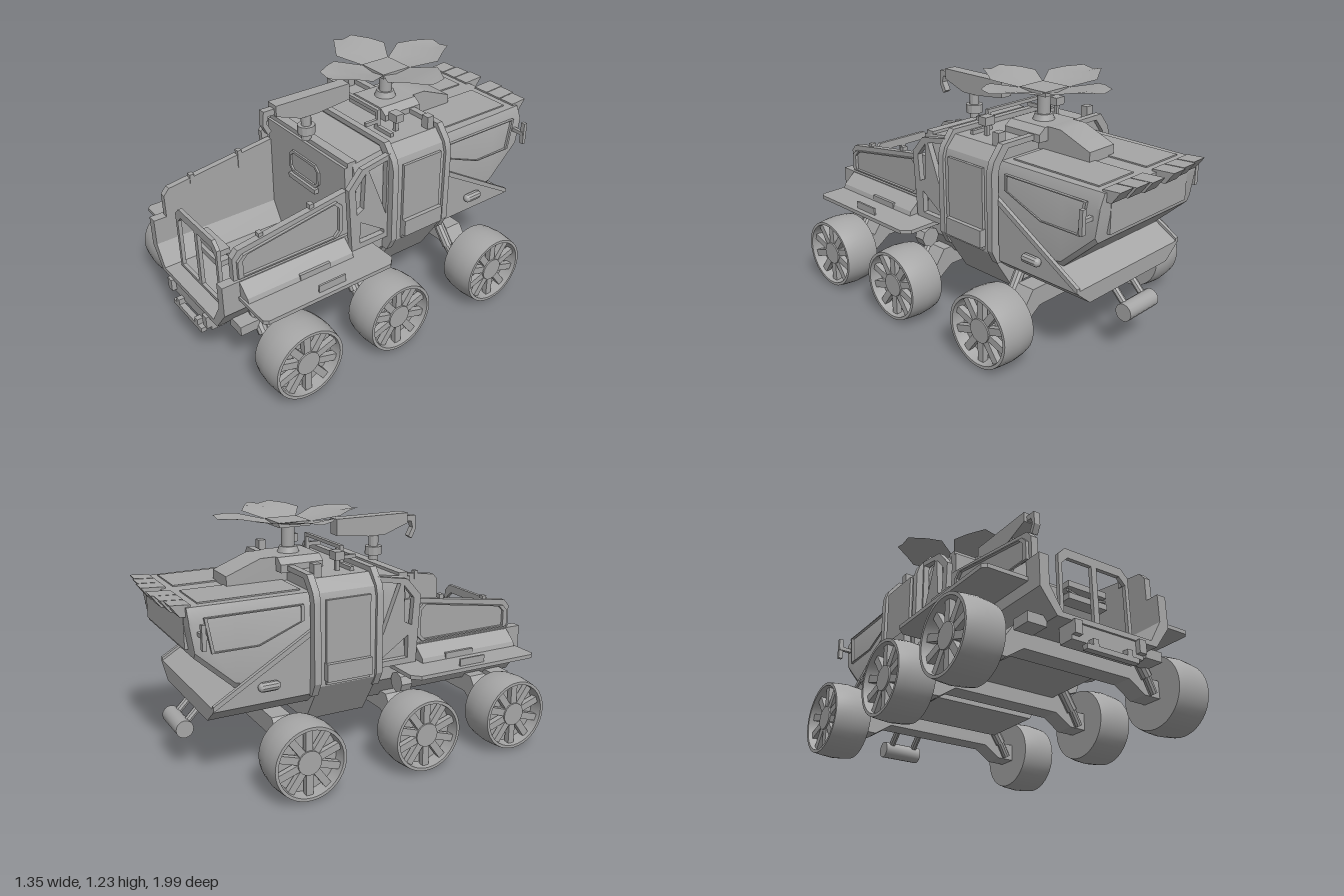
import * as THREE from 'three';
import { toCreasedNormals } from 'three/addons/utils/BufferGeometryUtils.js';

const grey = new THREE.MeshStandardMaterial({ color: 0xa6a6a6, side: THREE.DoubleSide });
grey.name = 'grey';

export function createModel() {
  const model = new THREE.Group();
  model.name = 'rover';
  const V = (x, y, z) => new THREE.Vector3(x, y, z);

  function add(name, geo, parent = model) {
    const m = new THREE.Mesh(toCreasedNormals(geo, 0.45), grey);
    m.name = name;
    parent.add(m);
    return m;
  }
  // Box given by its x, y and z ranges
  const box = (name, x0, x1, y0, y1, z0, z1) => add(name,
    new THREE.BoxGeometry(x1 - x0, y1 - y0, z1 - z0).translate((x0 + x1) / 2, (y0 + y1) / 2, (z0 + z1) / 2));
  const pairBox = (name, x0, x1, ...r) => {
    box(name, x0, x1, ...r);
    box(name, -x1, -x0, ...r);
  };
  const toShape = (pts, holes = []) => {
    const s = new THREE.Shape(pts.map(p => new THREE.Vector2(...p)));
    holes.forEach(h => s.holes.push(new THREE.Path(h.map(p => new THREE.Vector2(...p)))));
    return s;
  };
  const extrude = (shape, depth) => new THREE.ExtrudeGeometry(shape, { depth, bevelEnabled: false });
  // Outline in (z, y), extruded from x0 to x1
  const slab = (name, pts, x0, x1, holes = []) => {
    const f = a => a.map(([z, y]) => [-z, y]);
    add(name, extrude(toShape(f(pts), holes.map(f)), x1 - x0).rotateY(Math.PI / 2).translate(x0, 0, 0));
  };
  const pairSlab = (name, pts, x0, x1, holes) => {
    slab(name, pts, x0, x1, holes);
    slab(name, pts, -x1, -x0, holes);
  };
  // Outline in (x, y), extruded from z0 to z1
  const front = (name, pts, z0, z1, holes) => add(name, extrude(toShape(pts, holes), z1 - z0).translate(0, 0, z0));
  const mirror = half => [...half, ...half.map(([x, y]) => [-x, y]).reverse()];
  // Smaller copy of an outline, for the opening in a frame
  const shrink = (pts, k) => {
    const c = [0, 1].map(i => pts.reduce((s, p) => s + p[i], 0) / pts.length);
    return pts.map(p => p.map((v, i) => c[i] + (v - c[i]) * k));
  };
  // Hull through mirrored half sections [z, [[x, y], ...]], from back to front
  function loft(name, sections) {
    const pos = [], idx = [], n = sections[0][1].length * 2;
    sections.forEach(([z, half]) => mirror(half).forEach(([x, y]) => pos.push(x, y, z)));
    const last = (sections.length - 1) * n;
    for (let s = 0; s < last; s += n) for (let i = 0; i < n; i++) {
      const a = s + i, b = s + (i + 1) % n;
      idx.push(a, b, b + n, a, b + n, a + n);
    }
    for (let i = 1; i < n - 1; i++) idx.push(0, i + 1, i, last, last + i, last + i + 1);
    const g = new THREE.BufferGeometry();
    g.setAttribute('position', new THREE.Float32BufferAttribute(pos, 3));
    g.setIndex(idx);
    return add(name, g);
  }
  function rod(name, a, b, r, sides = 10, r2 = r) {
    const d = b.clone().sub(a);
    const m = add(name, new THREE.CylinderGeometry(r2, r, d.length(), sides));
    m.position.copy(a).addScaledVector(d, 0.5);
    m.quaternion.setFromUnitVectors(V(0, 1, 0), d.normalize());
  }

  // Wheels: barrel tyre closed on the inside, recessed spokes outside
  const tyre = [[0, -0.095], [0.18, -0.095], [0.187, -0.06], [0.192, 0], [0.187, 0.06], [0.182, 0.095],
    [0.167, 0.095], [0.16, 0.03], [0, 0.03]].map(p => new THREE.Vector2(...p));
  for (const s of [1, -1]) for (const z of [0.715, 0.175, -0.465]) {
    const wheel = new THREE.Group();
    wheel.name = 'wheel';
    add('tyre', new THREE.LatheGeometry(tyre, 40), wheel);
    add('hub', new THREE.CylinderGeometry(0.06, 0.065, 0.05, 20).translate(0, 0.055, 0), wheel);
    for (let i = 0; i < 10; i++) {
      add('spoke', new THREE.BoxGeometry(0.115, 0.03, 0.036).translate(0.11, 0.058, 0).rotateY(i * Math.PI / 5), wheel);
    }
    wheel.rotation.z = -s * Math.PI / 2;
    wheel.position.set(s * 0.58, 0.195, z);
    model.add(wheel);
  }
  // Axle beams and shock absorbers
  for (const z of [0.715, 0.175, -0.465]) {
    front('axle', mirror([[0.3, 0.21], [0.39, 0.15], [0.49, 0.15], [0.49, 0.24], [0.4, 0.24], [0.35, 0.31]]), z - 0.05, z + 0.05);
    rod('shockAbsorber', V(0.3, 0.36, z + 0.08), V(0.39, 0.23, z + 0.07), 0.028);
    rod('shockPiston', V(0.39, 0.23, z + 0.07), V(0.435, 0.16, z + 0.06), 0.021);
  }

  // Open front tub with chamfered floor edges
  const tub = [[-0.28, 0.285], [0.28, 0.285], [0.365, 0.4], [0.365, 0.56], [0.315, 0.56], [0.315, 0.42],
    [0.25, 0.31], [-0.25, 0.31], [-0.315, 0.42], [-0.315, 0.56], [-0.365, 0.56], [-0.365, 0.4]];
  front('tub', tub, 0.03, 0.97);
  const wall = [[0.9, 0.55], [0.9, 0.68], [0.87, 0.715], [0.28, 0.8], [0.2, 0.8], [0.2, 0.55]];
  pairSlab('tubWall', wall, 0.315, 0.35);
  const wallPanel = [[0.88, 0.57], [0.88, 0.66], [0.85, 0.69], [0.33, 0.77], [0.3, 0.74], [0.3, 0.6], [0.33, 0.57]];
  pairSlab('wallPanel', wallPanel, 0.35, 0.365, [shrink(wallPanel, 0.92)]);
  const ledge = [[0.36, 0.47], [0.44, 0.47], [0.43, 0.5], [0.36, 0.56]];
  front('sideLedge', ledge, 0.29, 0.88);
  front('sideLedge', ledge.map(([x, y]) => [-x, y]).reverse(), 0.29, 0.88);
  pairBox('ledgeHandle', 0.425, 0.44, 0.48, 0.51, 0.43, 0.6);
  for (const z of [0.46, 0.74]) pairBox('wallClip', 0.31, 0.34, 0.7, 0.87 - z * 0.16, z - 0.012, z + 0.012);
  // Flat fenders over the front wheels
  for (const s of [1, -1]) {
    const pts = [[0.36, 0.14], [0.55, 0.14], [0.59, 0.18], [0.59, 0.87], [0.57, 0.89], [0.36, 0.89]].map(([x, z]) => [s * x, -z]);
    add('fender', extrude(toShape(pts), 0.02).rotateX(-Math.PI / 2).translate(0, 0.457, 0));
  }
  pairBox('fenderFin', 0.553, 0.563, 0.47, 0.515, 0.43, 0.58);

  // Front gate with two windows and a stowed step behind it
  const gate = mirror([[0.205, 0.325], [0.205, 0.64], [0.165, 0.68]]);
  front('gate', gate, 0.88, 0.9, [
    [[0.015, 0.34], [0.185, 0.34], [0.185, 0.6], [0.15, 0.635], [0.015, 0.635]],
    [[-0.015, 0.34], [-0.185, 0.34], [-0.185, 0.6], [-0.15, 0.635], [-0.015, 0.635]]]);
  for (const y of [0.485, 0.545]) box('gateStep', -0.11, 0.11, y - 0.015, y + 0.015, 0.78, 0.85);
  for (const s of [1, -1]) rod('gateBrace', V(s * 0.11, 0.515, 0.84), V(-s * 0.11, 0.515, 0.78), 0.008, 6);
  // Nose and bumper
  box('nose', -0.2, 0.2, 0.205, 0.3, 0.88, 0.96);
  pairBox('noseBlock', 0.16, 0.2, 0.225, 0.29, 0.95, 0.985);
  pairBox('bumperMount', 0.08, 0.11, 0.18, 0.22, 0.95, 0.99);
  box('bumper', -0.145, 0.145, 0.165, 0.19, 0.96, 0.99);
  pairBox('noseBracket', 0.28, 0.38, 0.26, 0.31, 0.8, 0.9);

  // Cab: front block, bulkhead with window, middle section and hoops
  const cabHalf = y => [[0.28, 0.29], [0.365, 0.4], [0.365, 0.84], [0.335, y]];
  loft('cabFront', [[0.02, cabHalf(0.95)], [0.22, cabHalf(0.92)]]);
  front('bulkhead', mirror([[0.25, 0.31], [0.315, 0.42], [0.335, 0.56], [0.335, 0.915]]), 0.21, 0.265);
  box('bulkheadTop', -0.335, 0.335, 0.915, 0.938, 0.2, 0.25);
  front('cabWindow', mirror([[0.1, 0.7], [0.13, 0.73], [0.13, 0.8], [0.1, 0.83]]), 0.265, 0.275,
    [mirror([[0.09, 0.715], [0.115, 0.735], [0.115, 0.795], [0.09, 0.815]])]);
  box('cabShelf', -0.115, 0.115, 0.675, 0.7, 0.265, 0.29);
  const mid = [[0.28, 0.23], [0.42, 0.45], [0.42, 0.86], [0.405, 0.91], [0.35, 0.97]];
  loft('cabMiddle', [[-0.3, mid], [0.03, mid]]);
  const hoop = [[0.4, 0.4], [0.435, 0.47], [0.435, 0.87], [0.42, 0.92], [0.36, 0.995]];
  const hoopHole = shrink(mirror(hoop), 0.9);
  for (const z of [0.015, -0.325]) front('hoop', mirror(hoop), z, z + 0.035, [hoopHole]);
  pairSlab('door', [[-0.02, 0.46], [-0.02, 0.88], [-0.26, 0.88], [-0.26, 0.46]], 0.42, 0.435);
  pairBox('doorStep', 0.42, 0.457, 0.48, 0.57, -0.265, -0.02);
  // Braced frame beside the cab
  pairSlab('cabFrame', [[0.27, 0.48], [0.29, 0.83], [0.21, 0.92], [0.04, 0.95], [0.04, 0.48]], 0.37, 0.4,
    [[[0.24, 0.68], [0.25, 0.82], [0.19, 0.89], [0.2, 0.7]], [[0.17, 0.9], [0.06, 0.92], [0.06, 0.62]],
      [[0.22, 0.51], [0.22, 0.63], [0.07, 0.53], [0.07, 0.51]]]);
  for (const s of [1, -1]) rod('sideLamp', V(s * 0.425, 0.4, 0.14), V(s * 0.425, 0.4, 0.2), 0.053, 8);

  // Rear body with an undercut tail
  const rear = (b, w, t) => [[w - 0.02, b], [w, b + 0.03], [w, 0.84], [w - 0.03, t]];
  loft('rearBody', [[-0.905, rear(0.8, 0.365, 0.905)], [-0.885, rear(0.67, 0.365, 0.906)],
    [-0.7, rear(0.5, 0.37, 0.906)], [-0.3, rear(0.4, 0.375, 0.906)]]);
  const skirt = y => [[0.3, 0.34], [0.385, 0.41], [0.385, y]];
  loft('rearSkirt', [[-0.82, skirt(0.425)], [-0.3, skirt(0.73)]]);
  pairSlab('skirtRib', [[-0.3, 0.745], [-0.82, 0.44], [-0.82, 0.415], [-0.3, 0.715]], 0.375, 0.395);
  const sidePanel = [[-0.35, 0.86], [-0.84, 0.86], [-0.81, 0.69], [-0.58, 0.69], [-0.35, 0.78]];
  pairSlab('rearSidePanel', sidePanel, 0.365, 0.38, [shrink(sidePanel, 0.94)]);
  for (const s of [1, -1]) add('sidePill', new THREE.CapsuleGeometry(0.024, 0.065, 4, 10)
    .rotateX(Math.PI / 2).translate(s * 0.4, 0.495, -0.545));
  box('rearDoor', -0.29, 0.29, 0.7, 0.86, -0.907, -0.88);
  pairBox('roofPanel', 0.05, 0.295, 0.9, 0.913, -0.84, -0.33);
  slab('roofHump', [[-0.3, 0.9], [-0.3, 1.02], [-0.36, 1.03], [-0.44, 1.03], [-0.62, 0.96], [-0.62, 0.9]], -0.09, 0.09);
  // Tail vents, stepping forward towards the sides
  [0.035, 0.132, 0.23].forEach((x, i) => {
    const d = i * 0.012;
    pairSlab('tailVent', [[-0.88, 0.86], [-0.88, 0.915], [-1 + d, 0.922], [-0.955 + d, 0.862]], x, x + 0.092);
  });
  // Tail brackets and towing drum
  for (const s of [1, -1]) {
    box('tailBracketArm', s > 0 ? 0.35 : -0.44, s > 0 ? 0.44 : -0.35, 0.78, 0.8, -0.87, -0.85);
    box('tailBracket', s * 0.43 - 0.012, s * 0.43 + 0.012, 0.73, 0.85, -0.875, -0.855);
    rod('drumArm', V(s * 0.07, 0.36, -0.74), V(s * 0.07, 0.23, -0.87), 0.018, 8);
  }
  rod('drum', V(-0.11, 0.23, -0.87), V(0.11, 0.23, -0.87), 0.045, 16);

  // Roof rail, lamps and hatch
  pairBox('railPost', 0.18, 0.197, 0.96, 1.07, -0.06, -0.04);
  pairBox('railArm', 0.18, 0.197, 1.005, 1.025, -0.06, 0.03);
  box('rail', -0.197, 0.197, 1.058, 1.076, -0.06, -0.04);
  pairBox('lampStalk', 0.245, 0.265, 0.96, 1.03, -0.12, -0.1);
  pairBox('roofLamp', 0.225, 0.287, 1.025, 1.067, -0.135, -0.085);
  pairBox('roofLatch', 0.17, 0.3, 0.96, 0.99, -0.06, -0.04);
  pairBox('roofBlock', 0.3, 0.345, 0.95, 1.035, -0.28, -0.24);
  front('dishBase', mirror([[0.15, 0.96], [0.15, 1], [0.11, 1.03]]), -0.36, -0.13);
  // Petal dish on its mast
  rod('dishMastFoot', V(0, 1.02, -0.25), V(0, 1.06, -0.25), 0.06, 16, 0.045);
  rod('dishMast', V(0, 1.05, -0.25), V(0, 1.18, -0.25), 0.034, 16);
  box('dishCore', -0.085, 0.085, 1.168, 1.192, -0.335, -0.165);
  const reach = [0.085, 0.21, 0.28, 0.37], half = [0.085, 0.16, 0.117, 0.06], rise = [1.188, 1.216, 1.229, 1.233];
  for (let k = 0; k < 4; k++) {
    const g = new THREE.PlaneGeometry(2, 3, 2, 3), p = g.attributes.position;
    for (let i = 0; i < p.count; i++) {
      const r = Math.round(p.getY(i) + 1.5), c = Math.round(p.getX(i));
      p.setXYZ(i, c * half[r], rise[r] - (c ? 0 : 0.012), -reach[r]);
    }
    add('dishPetal', g.rotateY(k * Math.PI / 2).translate(0, 0, -0.25));
  }

  // Crane on the cab roof
  rod('cranePost', V(0, 0.93, 0.25), V(0, 1.1, 0.25), 0.026, 12);
  rod('craneCollar', V(0, 0.965, 0.25), V(0, 1.01, 0.25), 0.045, 12);
  slab('craneBoom', [[0.01, 1.09], [0.01, 1.175], [0.44, 1.175], [0.44, 1.12], [0.3, 1.07], [0.2, 1.07]], -0.035, 0.035);
  slab('craneHook', [[0.42, 1.155], [0.5, 1.155], [0.505, 1.08], [0.48, 1.03], [0.46, 1.045], [0.485, 1.09], [0.475, 1.125], [0.42, 1.125]], -0.018, 0.018);
  return model;
}
